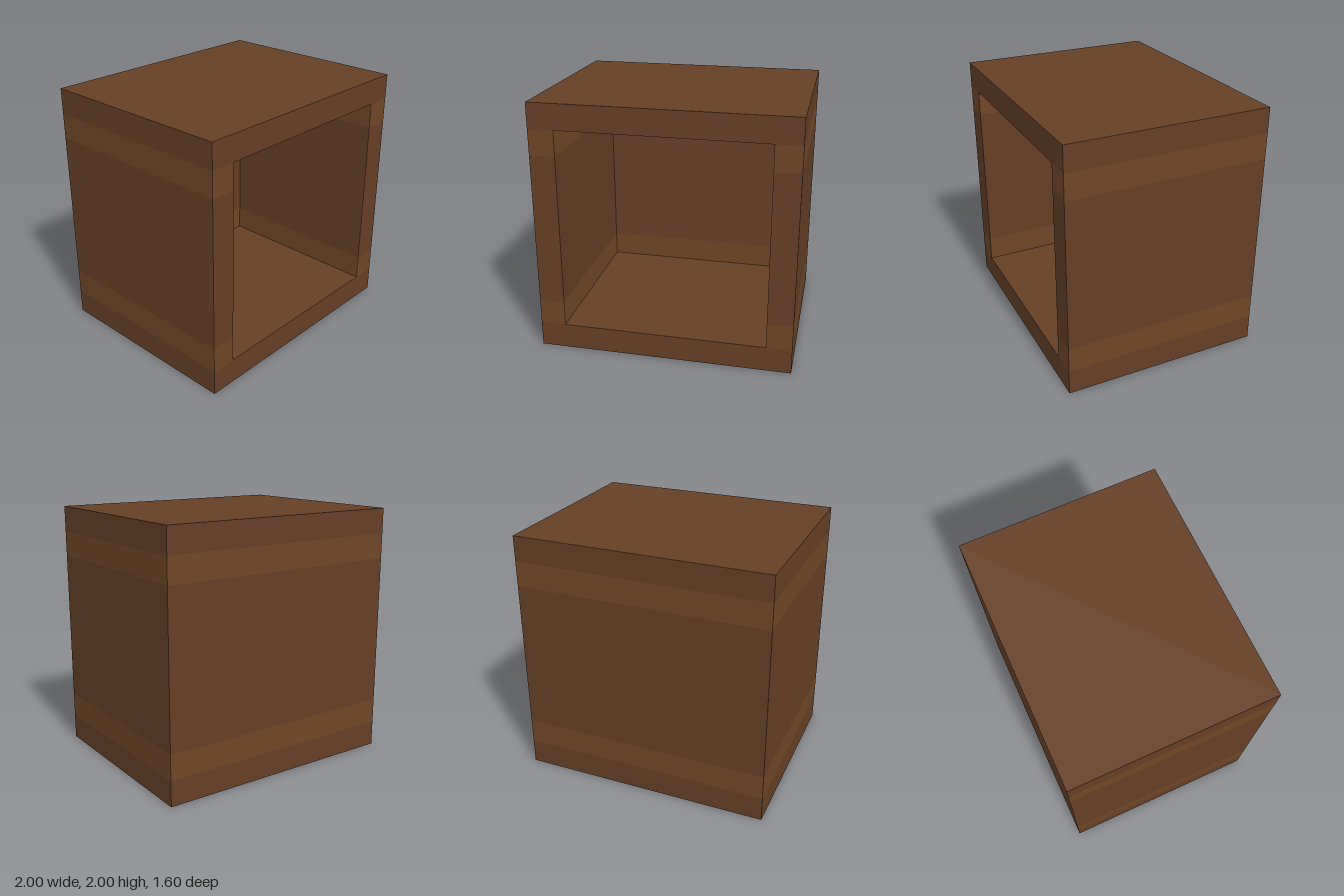
import * as THREE from 'three';

export function createModel() {
  const model = new THREE.Group();
  model.name = 'openCabinet';

  const darkWood = new THREE.MeshStandardMaterial({ color: 0x643f26 });
  const lightWood = new THREE.MeshStandardMaterial({ color: 0x6e4628 });

  const W = 1, D = 0.8, T = 0.2; // half width, half depth, board thickness

  function add(name, geometry, material, y) {
    const mesh = new THREE.Mesh(geometry, material);
    mesh.name = name;
    mesh.position.y = y;
    model.add(mesh);
  }

  // Floor and roof boards
  for (const [name, y] of [['floorBoard', T / 2], ['roofBoard', 2 - T / 2]]) {
    add(name, new THREE.BoxGeometry(2 * W, T, 2 * D), darkWood, y);
  }

  // U-shaped plan of the two side walls and back wall, open at the front
  const plan = new THREE.Shape([
    [-W, -D], [-W + T, -D], [-W + T, D - T], [W - T, D - T],
    [W - T, -D], [W, -D], [W, D], [-W, D],
  ].map(([x, y]) => new THREE.Vector2(x, y)));

  // Wall courses stacked from bottom to top, with a lighter band at each end
  const courses = [
    ['lowerBand', 0.2, 0.4, lightWood],
    ['mainWalls', 0.4, 1.6, darkWood],
    ['upperBand', 1.6, 1.8, lightWood],
  ];
  for (const [name, bottom, top, material] of courses) {
    const walls = new THREE.ExtrudeGeometry(plan, { depth: top - bottom, bevelEnabled: false });
    walls.rotateX(-Math.PI / 2);
    add(name, walls, material, bottom);
  }

  return model;
}
